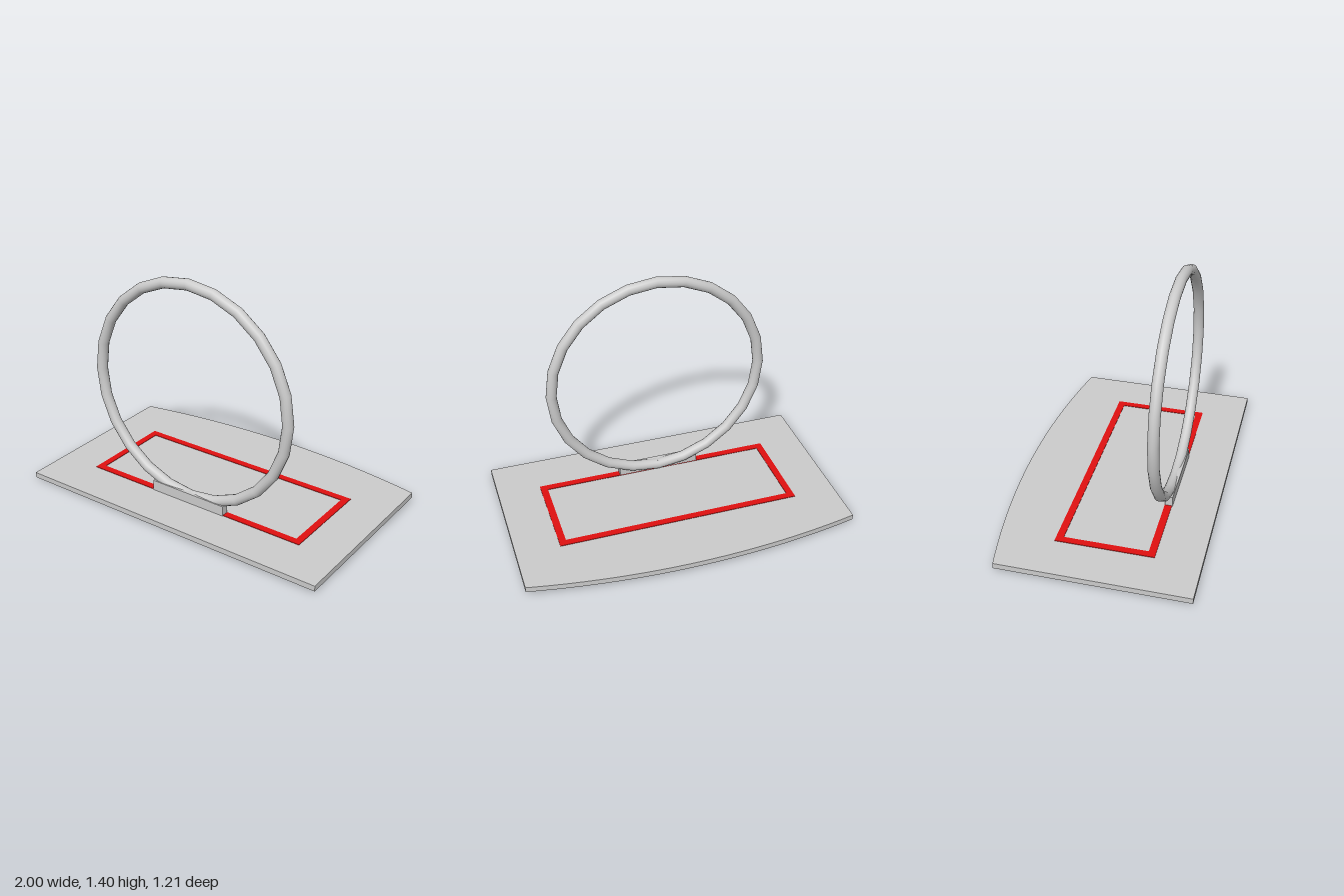
import * as THREE from 'three';

const grey = new THREE.MeshStandardMaterial({ color: 0xcccccc });
const red = new THREE.MeshStandardMaterial({ color: 0xe01010 });

function add(parent, name, geometry, material, x, y, z) {
  const mesh = new THREE.Mesh(geometry, material);
  mesh.name = name;
  mesh.position.set(x, y, z);
  parent.add(mesh);
  return mesh;
}

// Extrudes a plan outline (shape y points to the back) upwards from y = 0.
function slab(shape, height) {
  return new THREE.ExtrudeGeometry(shape, { depth: height, bevelEnabled: false, curveSegments: 24 })
    .rotateX(-Math.PI / 2);
}

function rectangle(path, x0, y0, x1, y1) {
  path.moveTo(x0, y0);
  path.lineTo(x1, y0);
  path.lineTo(x1, y1);
  path.lineTo(x0, y1);
  path.closePath();
  return path;
}

export function createModel() {
  const model = new THREE.Group();
  model.name = 'hoopAndBackboard';
  const thickness = 0.033;
  const halfWidth = 0.997, halfDepth = 0.55, bulge = 0.1;

  // The board lies very slightly askew
  const board = new THREE.Group();
  board.name = 'backboard';
  board.position.set(0, 0.0105, 0.045);
  board.rotation.set(0.01, 0.005, 0.005);
  model.add(board);

  // Panel with a bowed rear edge
  const outline = new THREE.Shape();
  outline.moveTo(-halfWidth, -halfDepth);
  outline.lineTo(halfWidth, -halfDepth);
  outline.lineTo(halfWidth, halfDepth);
  outline.quadraticCurveTo(0, halfDepth + 2 * bulge, -halfWidth, halfDepth);
  outline.closePath();
  add(board, 'panel', slab(outline, thickness), grey, 0, 0, 0);

  // Painted target frame
  const frame = rectangle(new THREE.Shape(), -0.737, -0.287, 0.737, 0.282);
  frame.holes.push(rectangle(new THREE.Path(), -0.695, -0.245, 0.695, 0.24));
  add(board, 'targetFrame', slab(frame, 0.005), red, 0, thickness - 0.002, 0);

  // Bracket and rim
  const bracket = add(model, 'bracket', new THREE.BoxGeometry(0.505, 0.08, 0.045), grey, -0.022, 0.063, 0.314);
  bracket.rotation.y = 0.005;
  const rim = add(model, 'rim', new THREE.TorusGeometry(0.648, 0.032, 16, 24), grey, -0.02, 0.72, 0.3);
  rim.rotation.y = 0.005;

  return model;
}
